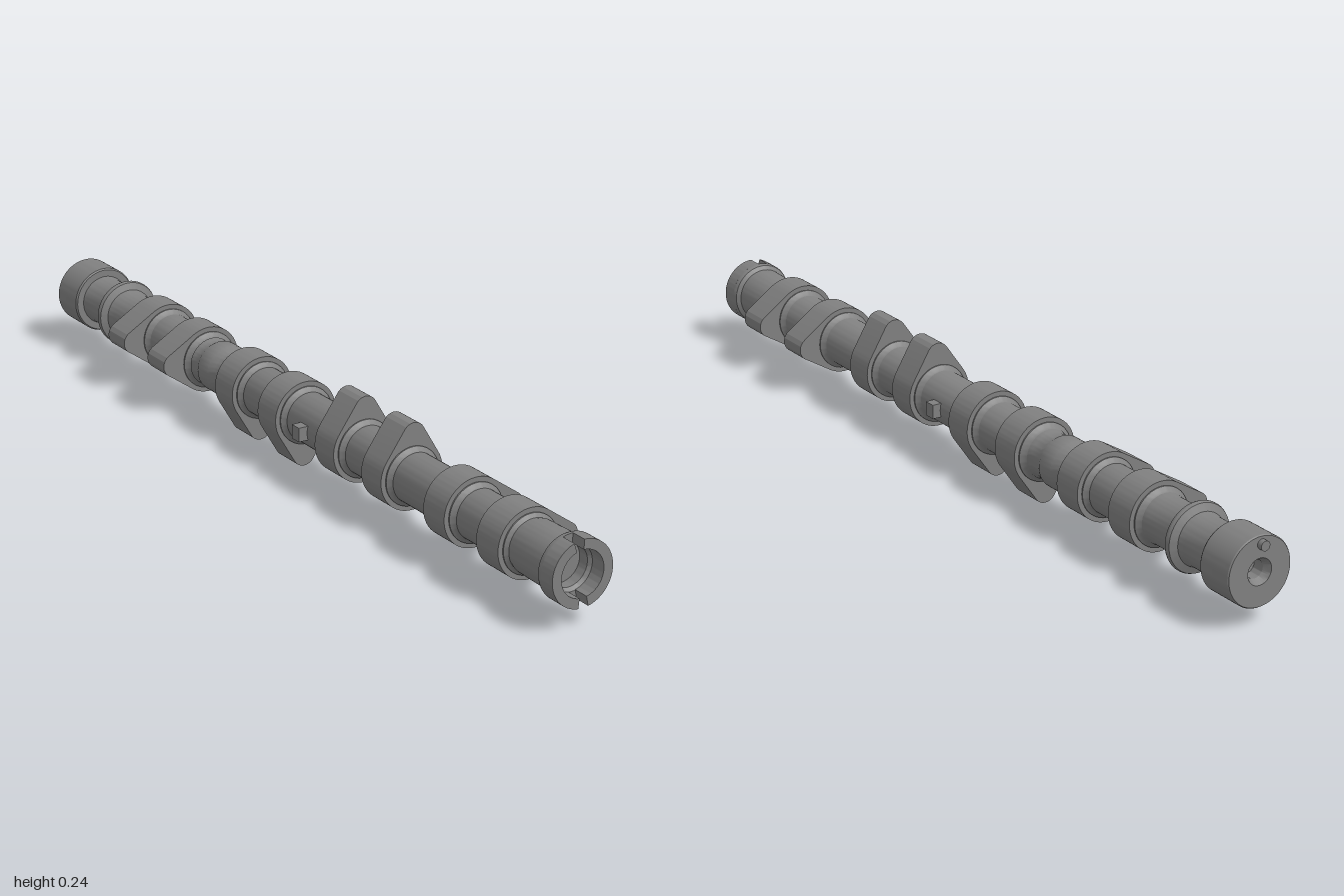
import * as THREE from 'three';
import { toCreasedNormals } from 'three/addons/utils/BufferGeometryUtils.js';

export function createModel() {
  const model = new THREE.Group();
  model.name = 'camshaft';
  const shaft = new THREE.Group();
  shaft.name = 'rotatingAssembly';
  shaft.position.set(-0.001, 0.121, 0);
  model.add(shaft);

  const steel = new THREE.MeshStandardMaterial({ color: 0x808080 });
  steel.name = 'steel';

  function add(name, geometry, x = 0, y = 0, z = 0) {
    const mesh = new THREE.Mesh(geometry, steel);
    mesh.name = name;
    mesh.position.set(x, y, z);
    shaft.add(mesh);
    return mesh;
  }

  // Turned part along z, profile given as [radius, z] from back to front
  function turned(name, profile, z = 0) {
    const points = profile.map(([r, h]) => new THREE.Vector2(r, h));
    const geometry = new THREE.LatheGeometry(points, 64).rotateX(Math.PI / 2);
    return add(name, toCreasedNormals(geometry, 0.5), 0, 0, z);
  }

  // Main shaft: bored rear journal, thrust flange, shaft, necks, bored front end
  turned('mainShaft', [
    [0, -0.94], [0.02, -0.945], [0.02, -0.972], [0.029, -0.988],
    [0.075, -0.988], [0.077, -0.985], [0.077, -0.9], [0.074, -0.896], [0.058, -0.896],
    [0.056, -0.89], [0.056, -0.82], [0.059, -0.802],
    [0.075, -0.795], [0.077, -0.79], [0.077, -0.786], [0.075, -0.781],
    [0.059, -0.775], [0.054, -0.755], [0.054, -0.69], [0.056, -0.68],
    [0.056, -0.41], [0.05, -0.392], [0.05, -0.376], [0.059, -0.358],
    [0.059, -0.318], [0.051, -0.302], [0.051, -0.275], [0.056, -0.26],
    [0.056, 0.83], [0.06, 0.845], [0.062, 0.945], [0.071, 0.951], [0.073, 0.956],
    [0.073, 0.963], [0.052, 0.963], [0.045, 0.955], [0.045, 0.93], [0, 0.93],
  ]);

  // Slotted crown at the front end: two ring segments with gaps at top and bottom
  const half = 0.165, topSlot = Math.PI / 2 + 0.15, bottomSlot = Math.PI * 1.5 + 0.05;
  [
    [bottomSlot - Math.PI * 2 + half, topSlot - half],
    [topSlot + half, bottomSlot - half],
  ].forEach(([from, to], i) => {
    const segment = new THREE.Shape();
    segment.absarc(0, 0, 0.073, from, to, false);
    segment.absarc(0, 0, 0.051, to, from, true);
    const geometry = new THREE.ExtrudeGeometry(segment, { depth: 0.037, bevelEnabled: false, curveSegments: 32 });
    add(i ? 'crownSegmentRight' : 'crownSegmentLeft', toCreasedNormals(geometry, 0.5), 0, 0, 0.963);
  });

  // Cam outline: base circle joined to a small nose by straight tangents
  const base = 0.077, nose = 0.028, noseY = 0.09, width = 0.074;
  const tangent = Math.PI / 2 - Math.acos((base - nose) / noseY);
  const outline = new THREE.Shape();
  outline.absarc(0, noseY, nose, Math.PI / 2 - (Math.PI / 2 - tangent), Math.PI - tangent, false);
  outline.absarc(0, 0, base, Math.PI - tangent, Math.PI * 2 + tangent, false);
  outline.closePath();
  const camGeometry = toCreasedNormals(
    new THREE.ExtrudeGeometry(outline, { depth: width, bevelEnabled: false, curveSegments: 40 })
      .translate(0, 0, -width / 2), 0.5);

  // Four pairs of cams, each pair a quarter turn from the next
  const skew = -0.038;
  [
    [0.79, -Math.PI / 2], [0.605, -Math.PI / 2],
    [0.377, 0], [0.197, 0],
    [-0.034, Math.PI], [-0.215, Math.PI],
    [-0.446, Math.PI / 2], [-0.628, Math.PI / 2],
  ].forEach(([z, angle], i) => {
    add('camLobe' + (i + 1), camGeometry, 0, 0, z).rotation.z = angle + skew;
    turned('camCollar' + (i + 1), [
      [0.055, -0.052], [0.058, -0.046], [0.066, -0.04], [0.066, 0.04], [0.058, 0.046], [0.055, 0.052],
    ], z);
  });

  // Sensor key through the middle, showing on both sides
  add('sensorKey', new THREE.BoxGeometry(0.152, 0.032, 0.028), -0.001, 0, 0.083);

  // Locating pin on the rear face
  add('locatingPin', new THREE.CylinderGeometry(0.011, 0.011, 0.04, 24).rotateX(Math.PI / 2), -0.003, 0.058, -0.98);

  return model;
}
